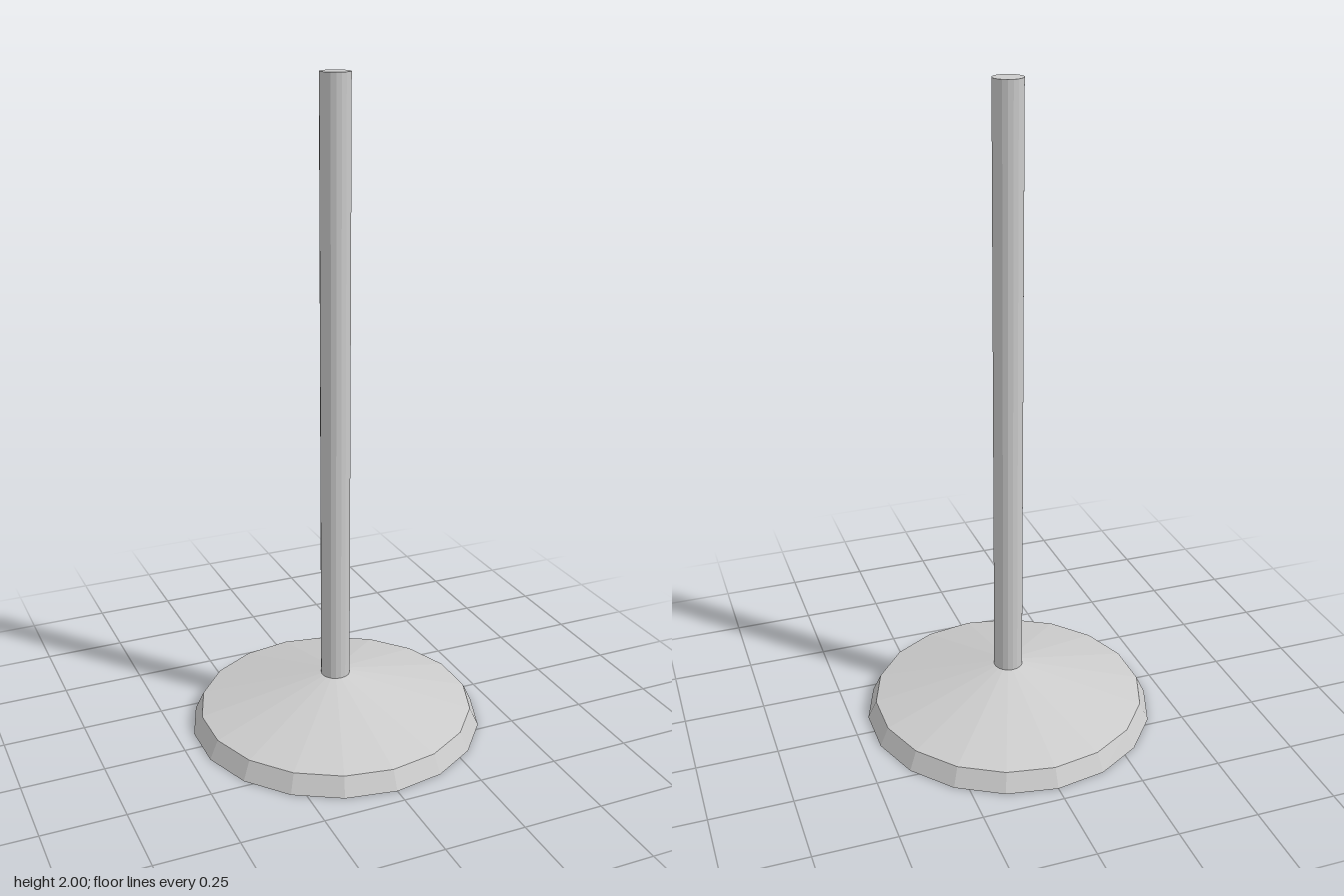
import * as THREE from 'three';

const SIDES = 18;

export function createModel() {
  const group = new THREE.Group();
  group.name = 'poleStand';
  const material = new THREE.MeshStandardMaterial({ color: 0xcccccc, flatShading: true });

  // Tapered faceted section between two heights
  const section = (name, rTop, rBottom, y0, y1, open) => {
    const geometry = new THREE.CylinderGeometry(rTop, rBottom, y1 - y0, SIDES, 1, open);
    geometry.translate(0, (y0 + y1) / 2, 0);
    const mesh = new THREE.Mesh(geometry, material);
    mesh.name = name;
    group.add(mesh);
  };

  // Bevelled rim with the flat underside
  section('baseRim', 0.425, 0.452, 0, 0.057, false);
  // Shallow cone rising to the pole
  section('baseCone', 0.045, 0.425, 0.057, 0.16, true);
  // Upright pole, flat on top
  section('pole', 0.045, 0.045, 0.16, 2, false);

  return group;
}
